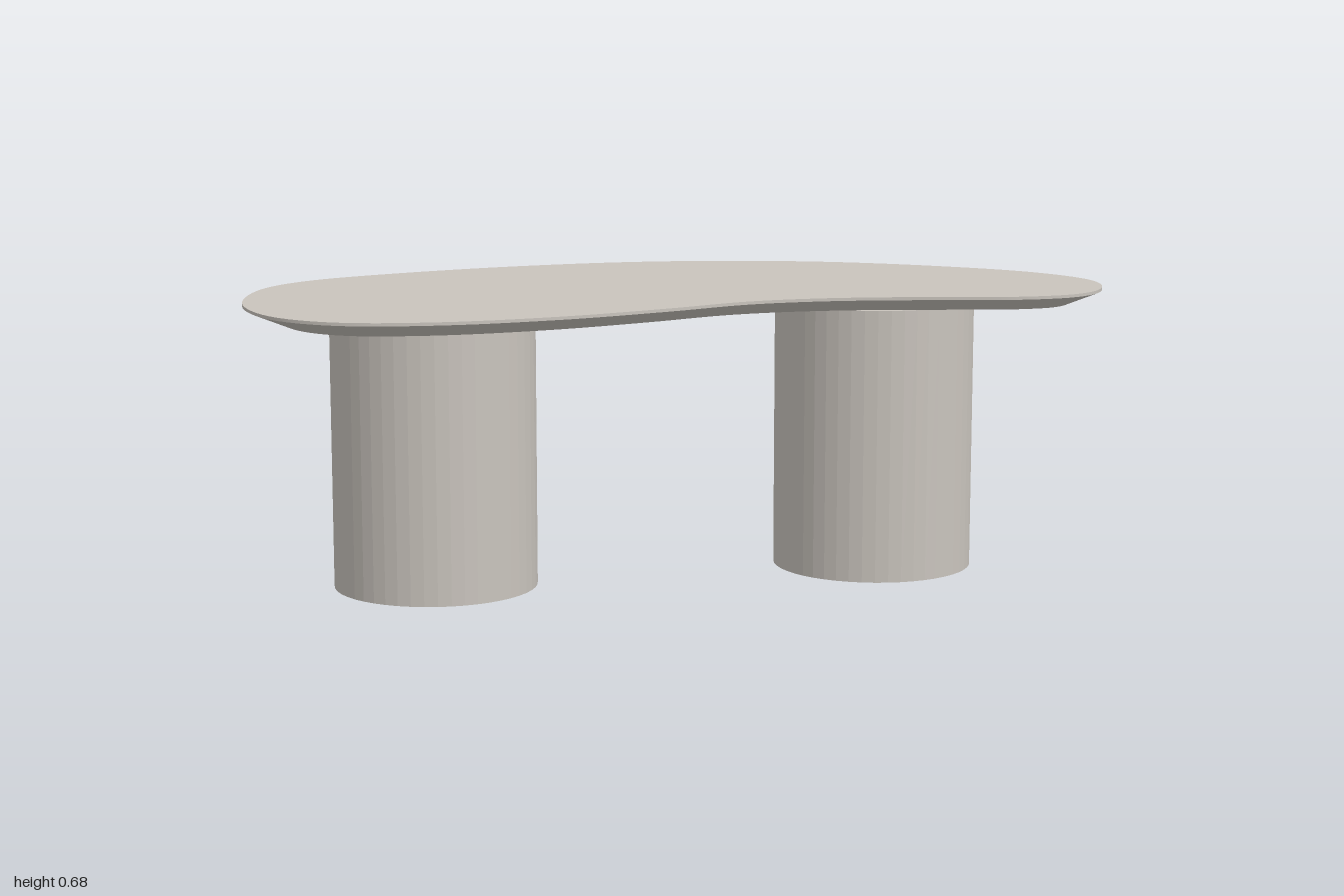
import * as THREE from 'three';

const TOP = 0.675, LIP = 0.668, UNDER = 0.636, INSET = 0.078;

// Control points of the kidney-shaped outline, as [x, z]
const OUTLINE = [
  [0, -0.51], [0.25, -0.482], [0.5, -0.4], [0.75, -0.24], [0.93, -0.06], [1, 0.12],
  [0.955, 0.28], [0.87, 0.355], [0.75, 0.375], [0.6, 0.35], [0.4, 0.31], [0.25, 0.3],
  [0.1, 0.318], [-0.1, 0.395], [-0.35, 0.472], [-0.62, 0.503], [-0.83, 0.46], [-0.95, 0.345],
  [-1, 0.15], [-0.975, -0.05], [-0.91, -0.2], [-0.8, -0.305], [-0.6, -0.395], [-0.3, -0.478],
];

// Flat face filling an outline at height y
function cap(points, y, up) {
  const g = new THREE.BufferGeometry();
  g.setAttribute('position', new THREE.Float32BufferAttribute(points.flatMap(p => [p.x, y, p.y]), 3));
  const tris = THREE.ShapeUtils.triangulateShape(points, []);
  g.setIndex(tris.flatMap(([a, b, c]) => (up ? [a, c, b] : [a, b, c])));
  g.computeVertexNormals();
  return g;
}

// Smooth closed band between two outlines
function band(upper, yUpper, lower, yLower) {
  const n = upper.length, pos = [], index = [];
  upper.forEach(p => pos.push(p.x, yUpper, p.y));
  lower.forEach(p => pos.push(p.x, yLower, p.y));
  for (let i = 0; i < n; i++) {
    const j = (i + 1) % n;
    index.push(i, j, n + i, j, n + j, n + i);
  }
  const g = new THREE.BufferGeometry();
  g.setAttribute('position', new THREE.Float32BufferAttribute(pos, 3));
  g.setIndex(index);
  g.computeVertexNormals();
  return g;
}

export function createModel() {
  const model = new THREE.Group();
  model.name = 'coffeeTable';
  const stone = new THREE.MeshStandardMaterial({ color: 0xc9c4bd });
  stone.name = 'warm grey';
  const add = (parent, name, geometry) => {
    const mesh = new THREE.Mesh(geometry, stone);
    mesh.name = name;
    parent.add(mesh);
    return mesh;
  };

  // Outer outline, and the same outline moved inwards for the underside
  const curve = new THREE.CatmullRomCurve3(OUTLINE.map(([x, z]) => new THREE.Vector3(x, 0, z)), true);
  const outer = [], inner = [];
  const steps = 144;
  for (let i = 0; i < steps; i++) {
    const p = curve.getPointAt(i / steps), t = curve.getTangentAt(i / steps);
    outer.push(new THREE.Vector2(p.x, p.z));
    inner.push(new THREE.Vector2(p.x - t.z * INSET, p.z + t.x * INSET));
  }

  // Table top with a thin lip and a bevelled underside
  const tableTop = new THREE.Group();
  tableTop.name = 'tableTop';
  model.add(tableTop);
  add(tableTop, 'topSurface', cap(outer, TOP, true));
  add(tableTop, 'lip', band(outer, TOP, outer, LIP));
  add(tableTop, 'bevel', band(outer, LIP, inner, UNDER));
  add(tableTop, 'underside', cap(inner, UNDER, false));

  // Two drum legs with fine facets
  const legGeometry = new THREE.CylinderGeometry(0.235, 0.235, UNDER, 48).toNonIndexed();
  legGeometry.computeVertexNormals();
  for (const [name, x] of [['rightLeg', -0.565], ['leftLeg', 0.488]]) {
    add(model, name, legGeometry).position.set(x, UNDER / 2, 0.027);
  }
  return model;
}
